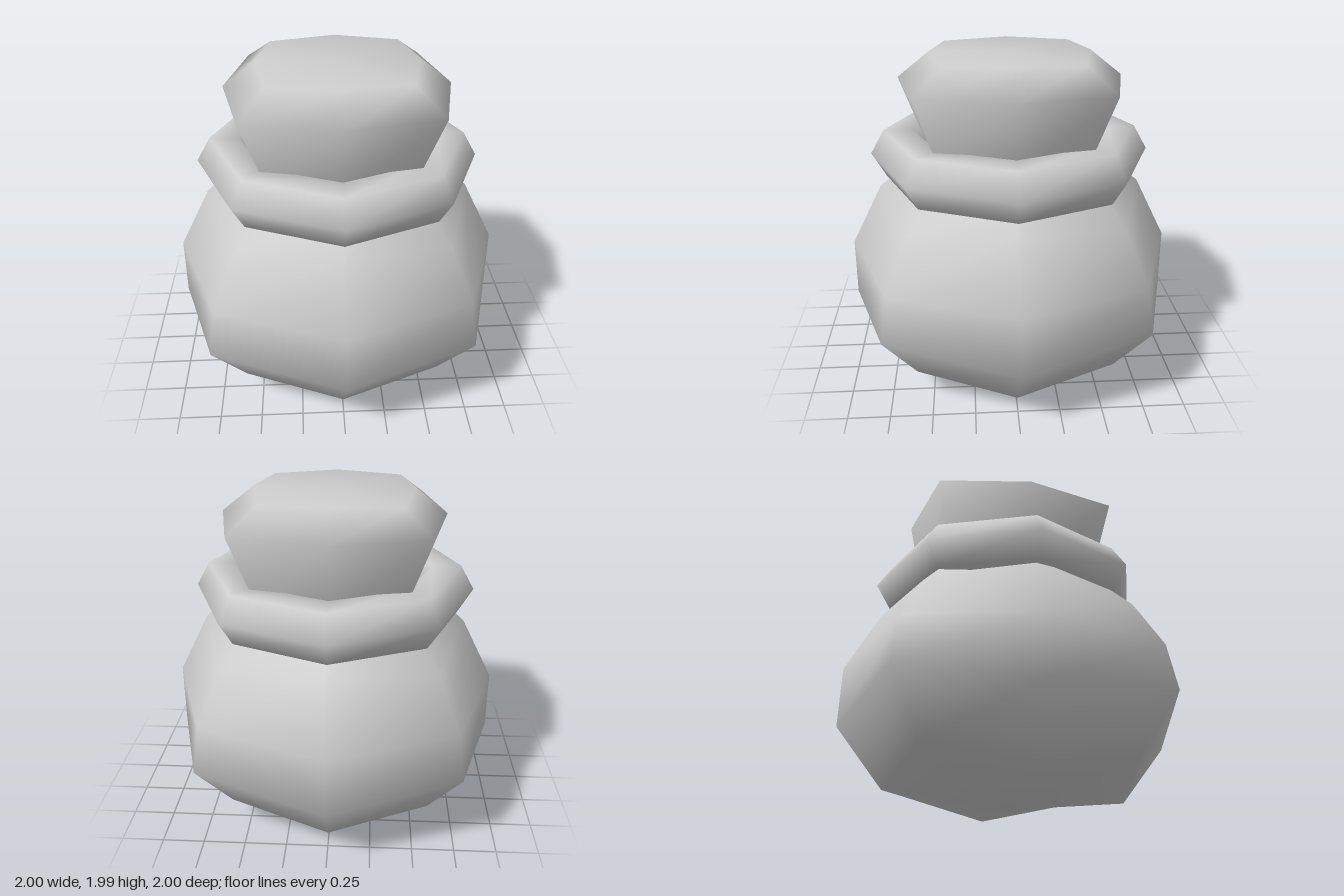
import * as THREE from 'three';

const material = new THREE.MeshStandardMaterial({ color: 0xcccccc });
const SIDES = 8;

// Skin through eight-point rings. Each ring is [side radius, side y, corner x = z, corner y].
// bottomY / topY close the ends with a centre point; leave null for an open end.
function ringSkin(name, rings, bottomY, topY) {
  const positions = [], index = [];
  for (const [side, sideY, corner, cornerY] of rings) {
    for (let j = 0; j < SIDES; j++) {
      const a = (j / SIDES) * Math.PI * 2;
      const r = j % 2 ? corner * Math.SQRT2 : side;
      positions.push(Math.cos(a) * r, j % 2 ? cornerY : sideY, Math.sin(a) * r);
    }
  }
  const at = (i, j) => i * SIDES + (j % SIDES);
  for (let i = 0; i < rings.length - 1; i++) {
    for (let j = 0; j < SIDES; j++) {
      const a = at(i, j), b = at(i + 1, j), c = at(i, j + 1), d = at(i + 1, j + 1);
      index.push(a, b, c, c, b, d);
    }
  }
  const cap = (y, ring, up) => {
    const centre = positions.length / 3;
    positions.push(0, y, 0);
    for (let j = 0; j < SIDES; j++) {
      const a = at(ring, j), b = at(ring, j + 1);
      index.push(centre, up ? b : a, up ? a : b);
    }
  };
  if (bottomY !== null) cap(bottomY, 0, false);
  if (topY !== null) cap(topY, rings.length - 1, true);

  const geometry = new THREE.BufferGeometry();
  geometry.setAttribute('position', new THREE.Float32BufferAttribute(positions, 3));
  geometry.setIndex(index);
  geometry.computeVertexNormals();
  const mesh = new THREE.Mesh(geometry, material);
  mesh.name = name;
  return mesh;
}

export function createModel() {
  const model = new THREE.Group();
  model.name = 'pot';

  // Rounded belly, drawn in towards the waist under the collar
  model.add(ringSkin('belly', [
    [0.72, 0.08, 0.59, 0.2],
    [1.0, 0.43, 0.765, 0.52],
    [0.995, 0.79, 0.73, 0.8],
    [0.8, 1.17, 0.61, 1.1],
    [0.49, 1.4, 0.41, 1.4],
  ], 0.005, null));

  // Flared stopper with a bevelled top
  model.add(ringSkin('stopper', [
    [0.49, 1.4, 0.41, 1.4],
    [0.655, 1.845, 0.54, 1.845],
    [0.47, 1.99, 0.39, 1.98],
  ], null, 1.99));

  // Thick collar around the waist
  const collar = new THREE.Mesh(new THREE.TorusGeometry(0.675, 0.168, 6, SIDES), material);
  collar.name = 'collar';
  collar.rotation.x = Math.PI / 2;
  collar.position.y = 1.38;
  model.add(collar);

  return model;
}
